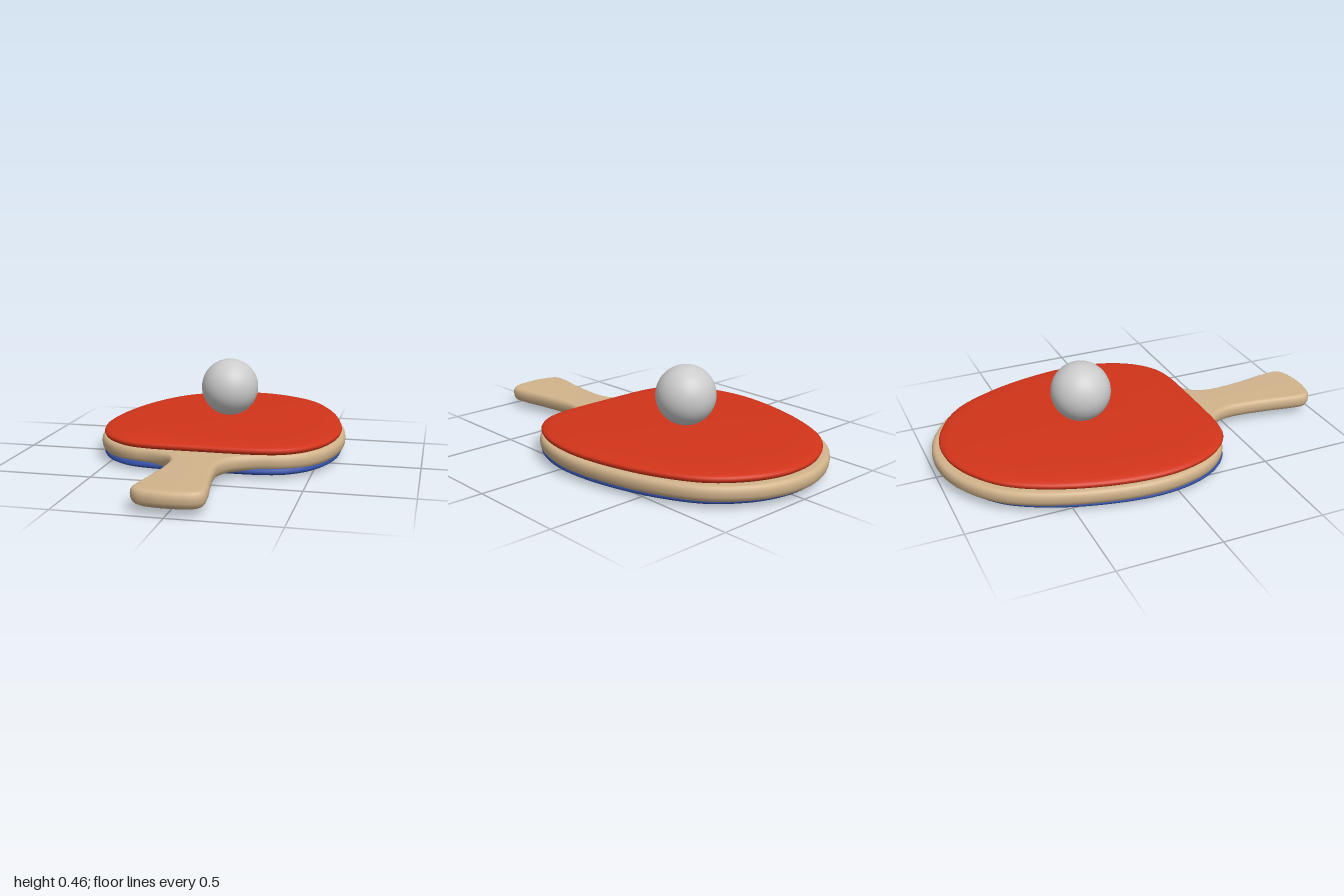
import * as THREE from 'three';

const SAMPLES = 192; // points around each outline

// Closed smooth outline from its right half, listed from back tip to front tip as [x, z].
function outlineFrom(half) {
  const left = half.slice(1, -1).reverse().map(([x, z]) => [-x, z]);
  const points = [...half, ...left].map(([x, z]) => new THREE.Vector3(x, 0, z));
  return new THREE.CatmullRomCurve3(points, true).getPoints(SAMPLES).slice(0, -1);
}

// Ring moved inward along the outline's normal.
function insetRing(outline, inset, y) {
  return outline.map((p, i) => {
    const a = outline[(i + SAMPLES - 1) % SAMPLES];
    const b = outline[(i + 1) % SAMPLES];
    const t = b.clone().sub(a).normalize();
    return new THREE.Vector3(p.x - t.z * inset, y, p.z + t.x * inset);
  });
}

// Ring shrunk toward the centre of the blade.
function scaledRing(outline, s, y, cz) {
  return outline.map(p => new THREE.Vector3(p.x * s, y, cz + (p.z - cz) * s));
}

// Skin stacked rings (bottom to top), closing both ends with strips across the symmetry axis.
function skin(rings) {
  const n = SAMPLES, index = [];
  for (let r = 0; r < rings.length - 1; r++) {
    for (let i = 0; i < n; i++) {
      const a = r * n + i, b = r * n + (i + 1) % n;
      index.push(a, a + n, b, b, a + n, b + n);
    }
  }
  const top = (rings.length - 1) * n;
  for (let i = 0; i < n / 2; i++) {
    const a = i, b = i + 1, c = n - i - 1, d = (n - i) % n;
    if (b !== c) {
      index.push(a, b, c);
      index.push(top + a, top + c, top + b);
    }
    if (a !== d) {
      index.push(a, c, d);
      index.push(top + a, top + d, top + c);
    }
  }
  const geometry = new THREE.BufferGeometry().setFromPoints(rings.flat());
  geometry.setIndex(index);
  geometry.computeVertexNormals();
  return geometry;
}

function addPart(group, name, geometry, color) {
  const mesh = new THREE.Mesh(geometry, new THREE.MeshStandardMaterial({ color }));
  mesh.name = name;
  group.add(mesh);
  return mesh;
}

export function createModel() {
  const group = new THREE.Group();
  group.name = 'tableTennisBat';

  // Wooden blade and flared handle in one piece
  const wood = outlineFrom([
    [0, -1], [0.13, -0.982], [0.27, -0.92], [0.41, -0.8], [0.51, -0.62], [0.585, -0.38],
    [0.617, -0.14], [0.6, 0.03], [0.55, 0.17], [0.47, 0.27], [0.37, 0.328], [0.24, 0.362],
    [0.158, 0.41], [0.12, 0.49], [0.119, 0.6], [0.138, 0.75], [0.16, 0.88], [0.16, 0.945],
    [0.125, 0.98], [0.06, 0.996], [0, 1],
  ]);
  // [inset, y] with a soft underside and a tighter upper edge
  const woodProfile = [
    [0.05, 0.027], [0.032, 0.031], [0.018, 0.038], [0.008, 0.048], [0.002, 0.062],
    [0, 0.08], [0.002, 0.094], [0.008, 0.104], [0.016, 0.109], [0.026, 0.11],
  ];
  addPart(group, 'bladeAndHandle', skin(woodProfile.map(([d, y]) => insetRing(wood, d, y))), 0xd2b48c);

  // Rubber sheets: gently domed, the lower one mirrored in y
  const sheet = outlineFrom([
    [0, -0.962], [0.12, -0.946], [0.25, -0.89], [0.385, -0.78], [0.49, -0.6], [0.565, -0.37],
    [0.599, -0.13], [0.585, 0.03], [0.54, 0.165], [0.47, 0.265], [0.38, 0.328], [0.28, 0.352],
    [0.14, 0.358], [0, 0.358],
  ]);
  const thickness = 0.157;
  const sheetProfile = [
    [0.95, 0.106], [0.975, 0.11], [0.992, 0.117], [1, 0.128], [0.994, 0.136], [0.975, 0.143],
    [0.93, 0.149], [0.8, 0.154], [0.5, thickness],
  ];
  const upper = sheetProfile.map(([s, y]) => scaledRing(sheet, s, y, -0.3));
  const lower = sheetProfile.map(([s, y]) => scaledRing(sheet, s, thickness - y, -0.3)).reverse();
  addPart(group, 'upperRubber', skin(upper), 0xd2341a);
  addPart(group, 'lowerRubber', skin(lower), 0x3350a8);

  // Ball resting on the upper rubber
  const ball = addPart(group, 'ball', new THREE.SphereGeometry(0.147, 48, 32), 0xcccccc);
  ball.position.set(0, 0.308, -0.26);

  return group;
}
